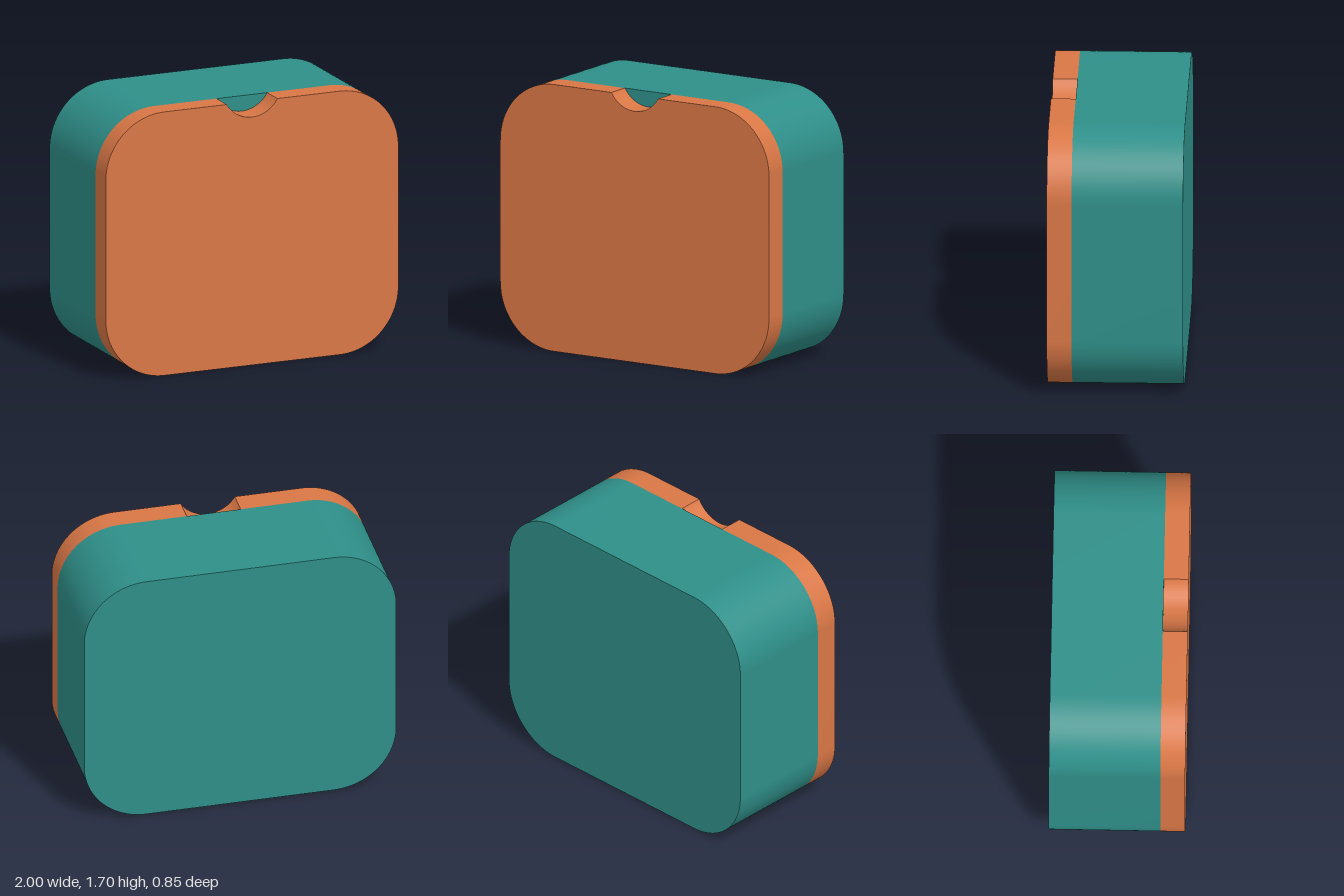
import * as THREE from 'three';
import { toCreasedNormals } from 'three/addons/utils/BufferGeometryUtils.js';

const W = 1, H = 1.7, R = 0.4;            // half width, height, corner radius
const BACK = -0.425, SPLIT = 0.27, FRONT = 0.425;
const NOTCH_R = 0.2, NOTCH_Y = 1.8;       // finger notch circle, centred above the top edge

// Rounded rectangle outline, optionally with the notch cut into its top edge
function outline(notched) {
  const s = new THREE.Shape();
  const q = Math.PI / 2;
  s.moveTo(-W + R, 0);
  s.absarc(W - R, R, R, -q, 0, false);
  s.absarc(W - R, H - R, R, 0, q, false);
  if (notched) {
    const a = Math.asin((NOTCH_Y - H) / NOTCH_R);
    s.absarc(0, NOTCH_Y, NOTCH_R, -a, -Math.PI + a, true);
  }
  s.absarc(-W + R, H - R, R, q, 2 * q, false);
  s.absarc(-W + R, R, R, 2 * q, 3 * q, false);
  return s;
}

function slab(name, shape, z0, z1, color) {
  const geo = new THREE.ExtrudeGeometry(shape, { depth: z1 - z0, bevelEnabled: false, curveSegments: 24 });
  geo.translate(0, 0, z0);
  const mesh = new THREE.Mesh(toCreasedNormals(geo, 0.5), new THREE.MeshStandardMaterial({ color }));
  mesh.name = name;
  return mesh;
}

export function createModel() {
  const group = new THREE.Group();
  group.name = 'roundedCase';
  // Deep rear body, and the front cover with its finger notch
  group.add(slab('body', outline(false), BACK, SPLIT, 0x2f8f89));
  group.add(slab('frontCover', outline(true), SPLIT, FRONT, 0xd97746));
  return group;
}
